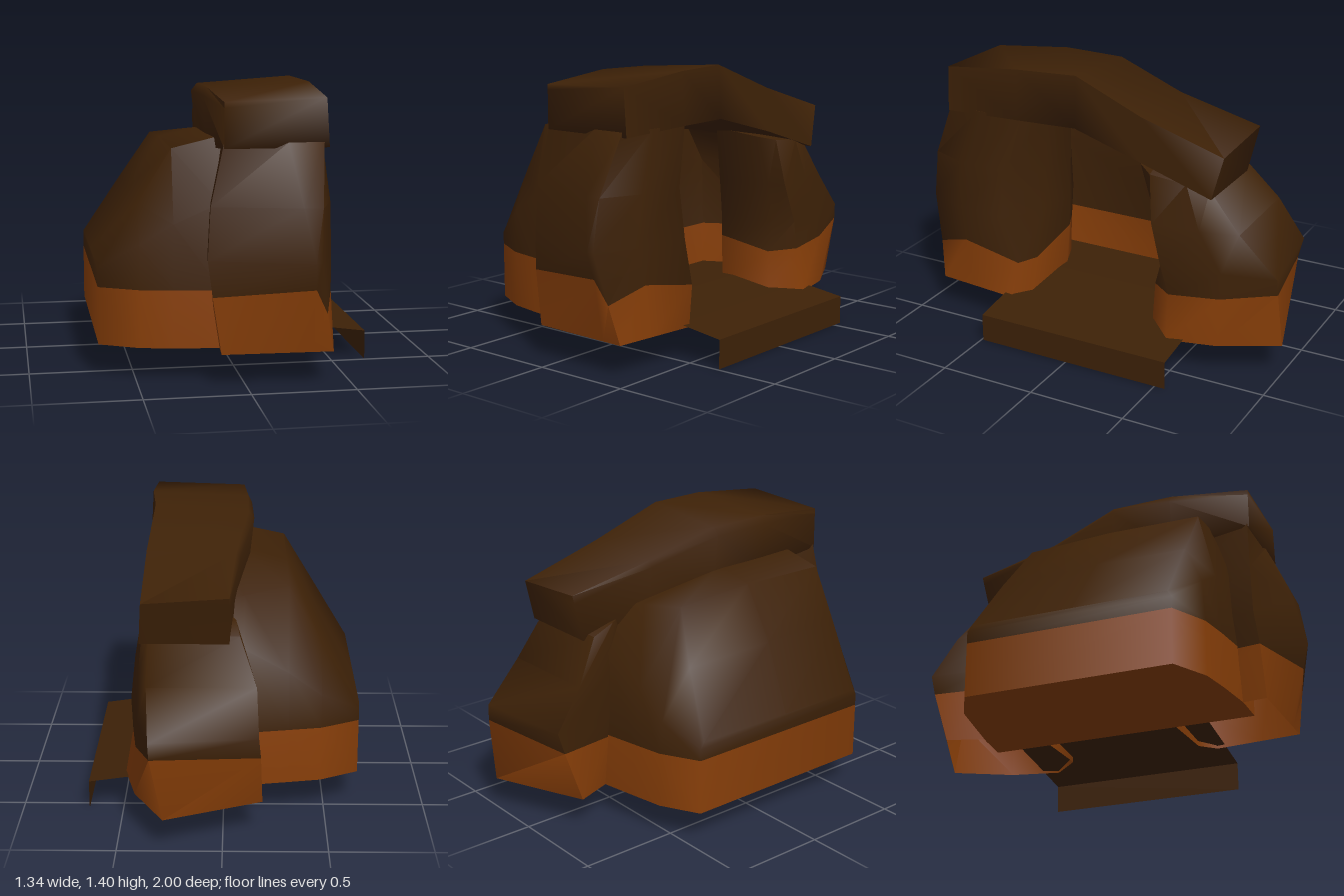
import * as THREE from 'three';
import { toCreasedNormals } from 'three/addons/utils/BufferGeometryUtils.js';

const brown = new THREE.MeshStandardMaterial({ color: 0x3d2107, side: THREE.DoubleSide });
brown.name = 'darkBrown';
const orange = new THREE.MeshStandardMaterial({ color: 0x873e08, side: THREE.DoubleSide });
orange.name = 'rustBase';

// Joins closed rings of [x, y, z] points; isBase(ring, edge) picks the rust colour.
// Closed ends are filled by bands between opposite points; capBase(band) picks their colour.
function loft(name, rings, { isBase = () => false, capBase = () => false, ends = [0, 1], crease = 1.2 }) {
  const n = rings[0].length;
  const faces = [[], []];
  for (let i = 0; i < rings.length - 1; i++) {
    for (let j = 0; j < n; j++) {
      const a = i * n + j, b = i * n + (j + 1) % n;
      faces[isBase(i, j) ? 1 : 0].push(a, b, b + n, a, b + n, a + n);
    }
  }
  for (const end of ends) {
    const o = end ? (rings.length - 1) * n : 0;
    for (let j = 0; j < Math.floor((n - 1) / 2); j++) {
      const [p, q, r, s] = [o + j, o + j + 1, o + n - 2 - j, o + n - 1 - j];
      const tris = q === r ? [[p, q, s]] : [[p, q, r], [p, r, s]];
      for (const [a, b, c] of tris) faces[capBase(j) ? 1 : 0].push(...(end ? [a, b, c] : [a, c, b]));
    }
  }
  const g = new THREE.BufferGeometry();
  g.setAttribute('position', new THREE.Float32BufferAttribute(rings.flat(2), 3));
  g.setIndex([...faces[0], ...faces[1]]);
  g.addGroup(0, faces[0].length, 0);
  g.addGroup(faces[0].length, faces[1].length, 1);
  const mesh = new THREE.Mesh(toCreasedNormals(g, crease), [brown, orange]);
  mesh.name = name;
  return mesh;
}

// Upright pillar, open below: rows of [height or heights, outline of x,z pairs]
function pillar(name, rows) {
  const rings = rows.map(([y, pts]) =>
    pts.map(([x, z], j) => [x, Array.isArray(y) ? y[j] : y, z]));
  return loft(name, rings, { isBase: i => i === 0, ends: [1], crease: 1.3 });
}

export function createModel() {
  const group = new THREE.Group();

  // Rounded rear shell, cross-sections from the back (-x) to the doorway rim;
  // the last one steps back in to form the recessed inner wall
  const shell = [
    [-0.67, 0.16, -0.45, 0.6, [[-0.45, 0.5], [-0.43, 0.53], [0.1, 0.53], [0.58, 0.53], [0.6, 0.5]]],
    [-0.48, 0.16, -0.55, 0.7, [[-0.53, 0.6], [-0.36, 0.83], [0.15, 0.845], [0.61, 0.84], [0.69, 0.65]]],
    [-0.32, 0.16, -0.58, 0.73, [[-0.54, 0.72], [-0.28, 1.08], [0.15, 1.105], [0.63, 1.1], [0.71, 0.75]]],
    [-0.1, 0.16, -0.62, 0.76, [[-0.56, 0.85], [-0.34, 1.05], [0.15, 1.15], [0.62, 1.15], [0.73, 0.85]]],
    [0.08, 0.16, -0.64, 0.76, [[-0.57, 0.83], [-0.4, 1.03], [0.15, 1.14], [0.58, 1.14], [0.7, 0.85]]],
    [-0.2, 0.165, -0.48, 0.52, [[-0.47, 0.8], [-0.34, 1.0], [0.1, 1.06], [0.42, 1.08], [0.5, 0.85]]],
  ].map(([x, y0, z0, z1, top]) =>
    [[z0, y0], [z0, 0.44], ...top, [z1, 0.44], [z1, y0]].map(([z, y]) => [x, y, z]));
  group.add(loft('rearShell', shell, {
    isBase: (i, j) => j === 0 || j >= 7,
    capBase: j => j === 0,
  }));

  // Door pillars
  group.add(pillar('frontPillar', [
    [0.16, [[0.41, 0.9], [0.43, 0.7], [0.455, 0.45], [0.38, 0.37], [0.05, 0.35], [-0.08, 0.4], [-0.12, 0.88], [0.3, 0.895]]],
    [[0.35, 0.42, 0.36, 0.36, 0.43, 0.43, 0.43, 0.47],
      [[0.37, 0.935], [0.43, 0.74], [0.44, 0.41], [0.33, 0.36], [0.03, 0.34], [-0.1, 0.4], [-0.16, 0.87], [0.31, 0.965]]],
    [0.6, [[0.33, 0.99], [0.42, 0.78], [0.46, 0.49], [0.25, 0.36], [0.02, 0.34], [-0.12, 0.4], [-0.18, 0.85], [0.3, 1.0]]],
    [0.85, [[0.34, 0.955], [0.42, 0.75], [0.435, 0.5], [0.25, 0.345], [0.02, 0.33], [-0.1, 0.4], [-0.165, 0.84], [0.25, 0.945]]],
    [1.14, [[0.37, 0.83], [0.4, 0.65], [0.385, 0.4], [0.28, 0.31], [0.02, 0.32], [-0.05, 0.4], [-0.1, 0.82], [0.2, 0.83]]],
  ]));
  group.add(pillar('backPillar', [
    [0.16, [[0.49, -0.47], [0.43, -0.72], [0.28, -1.0], [-0.19, -0.8], [-0.12, -0.6], [0.05, -0.34], [0.36, -0.33]]],
    [[0.39, 0.41, 0.46, 0.43, 0.43, 0.43, 0.38],
      [[0.45, -0.46], [0.42, -0.72], [0.34, -0.99], [-0.18, -0.89], [-0.15, -0.6], [0.05, -0.33], [0.35, -0.34]]],
    [0.54, [[0.46, -0.42], [0.41, -0.72], [0.345, -0.985], [-0.17, -0.92], [-0.15, -0.6], [0.05, -0.33], [0.35, -0.38]]],
    [0.74, [[0.44, -0.36], [0.41, -0.6], [0.36, -0.79], [-0.16, -0.78], [-0.13, -0.58], [0.05, -0.31], [0.35, -0.335]]],
    [[0.98, 0.96, 0.94, 0.94, 0.98, 1.02, 1.0],
      [[0.4, -0.33], [0.39, -0.52], [0.36, -0.63], [-0.08, -0.63], [-0.06, -0.5], [0.05, -0.28], [0.34, -0.25]]],
  ]));

  // Arched lintel: z, left x, right x, bottom, top left, top right, inner bottom drop, side bulge, end lean
  const lintel = [
    [0.83, -0.1, 0.38, 1.115, 1.33, 1.345, 0, 0, 0],
    [0.42, -0.12, 0.385, 1.13, 1.37, 1.39, 0.05, 0.02, 0],
    [0.1, -0.12, 0.355, 1.13, 1.365, 1.397, 0.08, 0.03, 0],
    [-0.27, -0.06, 0.38, 1.03, 1.25, 1.255, 0.03, 0.02, 0],
    [-0.68, -0.03, 0.385, 0.91, 1.155, 1.125, 0, 0, 0.025],
  ].map(([z, xl, xr, yb, yl, yr, drop, bulge, lean]) => [
    [xl, yb - drop, z + lean], [xl - bulge, (yb + yl) / 2 + 0.08, z - lean], [xl, yl, z - lean * 1.4],
    [xr, yr, z - lean * 1.2], [xr + 0.015, yb, z + lean],
  ]);
  group.add(loft('lintel', lintel, { crease: 1.5 }));

  // Threshold: a front riser and a gently rising top reaching the inner wall, open at both ends
  const step = new THREE.BufferGeometry();
  const edge = [[0.67, 0], [0.67, 0.145], [0.42, 0.18], [0.12, 0.217], [-0.2, 0.222]];
  const pts = [], idx = [];
  for (let k = 0; k < edge.length - 1; k++) {
    const [a, b] = [edge[k], edge[k + 1]];
    for (const [[x, y], z] of [[a, 0.49], [a, -0.555], [b, -0.555], [b, 0.49]]) pts.push(x, y, z);
    idx.push(...[0, 1, 2, 0, 2, 3].map(v => v + k * 4));
  }
  step.setAttribute('position', new THREE.Float32BufferAttribute(pts, 3));
  step.setIndex(idx);
  step.computeVertexNormals();
  const threshold = new THREE.Mesh(step, brown);
  threshold.name = 'threshold';
  group.add(threshold);

  return group;
}
